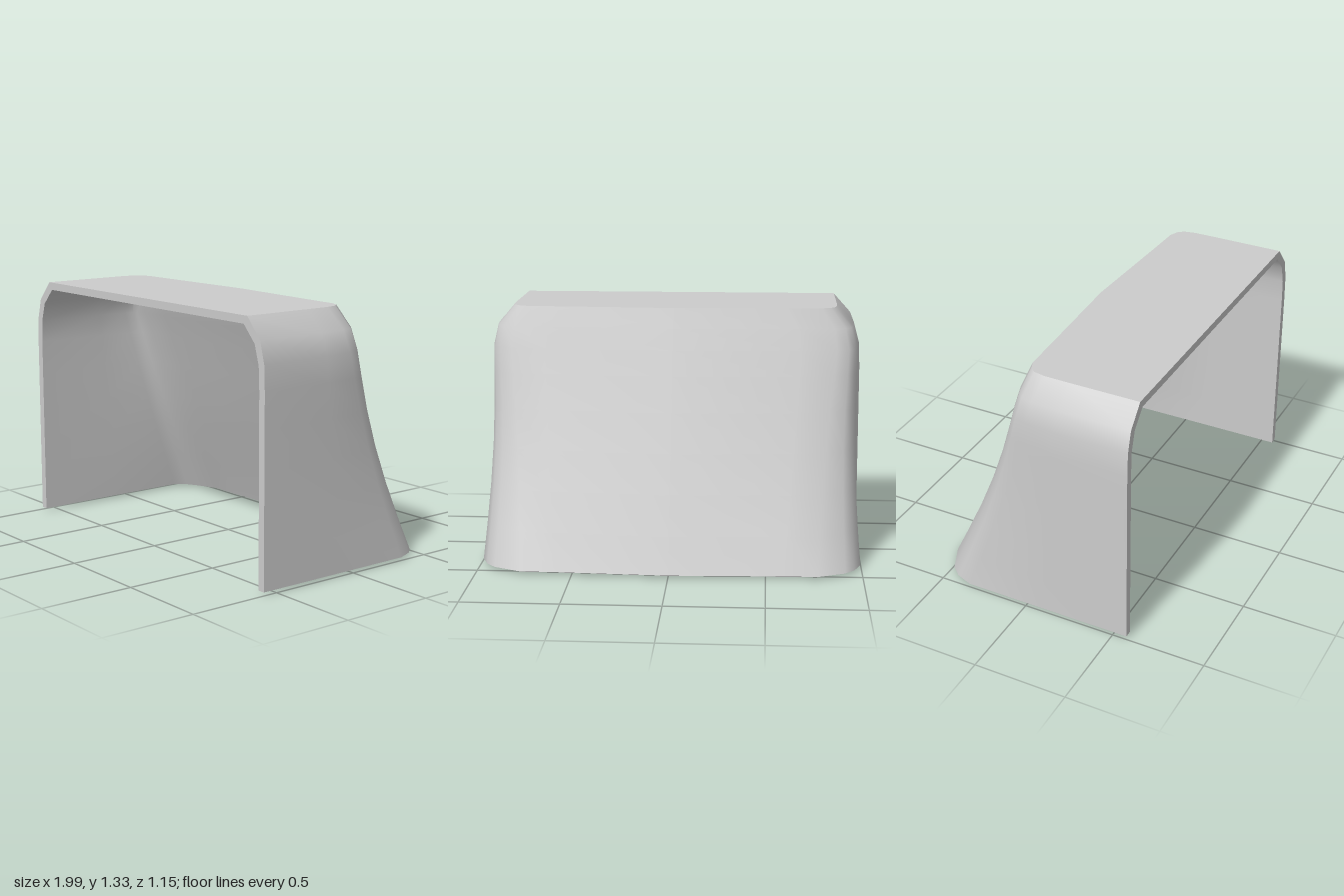
import * as THREE from 'three';

const FRONT = 0.575, TOP = 1.325, WALL = 0.04;

// Levels of the wall: [height, half width]
const LEVELS = [[0.015, 0.995], [0.2, 0.995], [0.4, 0.995], [0.6, 0.995], [0.8, 0.995],
  [0.98, 0.995], [1.11, 0.99], [1.22, 0.96], [TOP, 0.865]];

// Half plan outline, front edge to back centre: [x share, z] at foot and roof, and bow amount
const PLAN = [
  { foot: [1, FRONT], roof: [1, FRONT], bow: [0, 0] },
  { foot: [1, 0.1], roof: [1, 0.2], bow: [0, 0] },
  { foot: [1, -0.34], roof: [0.998, 0.07], bow: [0.03, 0.03] },
  { foot: [0.965, -0.43], roof: [0.985, 0.01], bow: [0.03, 0.04] },
  { foot: [0.915, -0.485], roof: [0.955, -0.02], bow: [0.03, 0.045] },
  { foot: [0.775, -0.55], roof: [0.9, -0.04], bow: [0.02, 0.045] },
  { foot: [0.6, -0.552], roof: [0.7, -0.047], bow: [0, 0.025] },
  { foot: [0, -0.575], roof: [0, -0.075], bow: [0, 0] },
];
const LAST = (PLAN.length - 1) * 2;

// Completes a half row with its mirror image across x = 0
function mirrorRow(half) {
  const other = half.slice(0, -1).reverse().map((p) => new THREE.Vector3(-p.x, p.y, p.z));
  return [...half, ...other];
}

function outerRow([y, width]) {
  const t = (y - LEVELS[0][0]) / (TOP - LEVELS[0][0]);
  const swell = Math.sin(Math.PI * t);
  return mirrorRow(PLAN.map(({ foot, roof, bow }) => new THREE.Vector3(
    width * THREE.MathUtils.lerp(foot[0], roof[0], t) - bow[0] * swell,
    y,
    THREE.MathUtils.lerp(foot[1], roof[1], t) + bow[1] * swell)));
}

// Moves a row inward by the wall thickness
function innerRow(row, k) {
  const fromTop = LEVELS.length - 1 - k;
  const inset = fromTop === 0 ? 0.026 : WALL;
  const drop = [WALL, 0.02, 0.01][fromTop] ?? 0;
  return row.map((p, j) => {
    const a = row[Math.max(j - 1, 0)], b = row[Math.min(j + 1, LAST)];
    const dx = b.x - a.x, dz = b.z - a.z, len = Math.hypot(dx, dz);
    const atFront = j === 0 || j === LAST;
    const backness = Math.abs(dx) / len;
    return new THREE.Vector3(
      p.x + (atFront ? -Math.sign(p.x) : dz / len) * inset,
      p.y - drop - (k === 0 ? 0.015 * backness : 0),
      atFront ? FRONT : p.z - (dx / len) * inset);
  });
}

// Smooth sheet through rows of points
function sheet(name, rows, flip = false) {
  const cols = rows[0].length, index = [];
  for (let k = 0; k < rows.length - 1; k++) {
    for (let j = 0; j < cols - 1; j++) {
      const a = k * cols + j, b = a + 1, c = b + cols, d = a + cols;
      index.push(...(flip ? [a, d, b, b, d, c] : [a, b, d, b, c, d]));
    }
  }
  const geometry = new THREE.BufferGeometry().setFromPoints(rows.flat());
  geometry.setIndex(index);
  geometry.computeVertexNormals();
  const mesh = new THREE.Mesh(geometry,
    new THREE.MeshStandardMaterial({ color: 0xcccccc, side: THREE.DoubleSide }));
  mesh.name = name;
  return mesh;
}

// Flat panel spanning the left and right halves of a row
function panelRows(row) {
  return PLAN.map((_, j) => [row[LAST - j], row[j]]);
}

// Arch formed by the front ends of all rows
function archRow(rows) {
  return [...rows.map((r) => r[0]), ...rows.map((r) => r[LAST]).reverse()];
}

export function createModel() {
  const group = new THREE.Group();
  group.name = 'hood';
  const outer = LEVELS.map(outerRow);
  const inner = outer.map(innerRow);
  const top = LEVELS.length - 1;

  group.add(
    sheet('outerWall', outer),
    sheet('innerWall', inner, true),
    sheet('roof', panelRows(outer[top])),
    sheet('ceiling', panelRows(inner[top]), true),
    sheet('bottomRim', [inner[0], outer[0]]),
    sheet('frontRim', [archRow(outer), archRow(inner)]),
  );
  return group;
}
